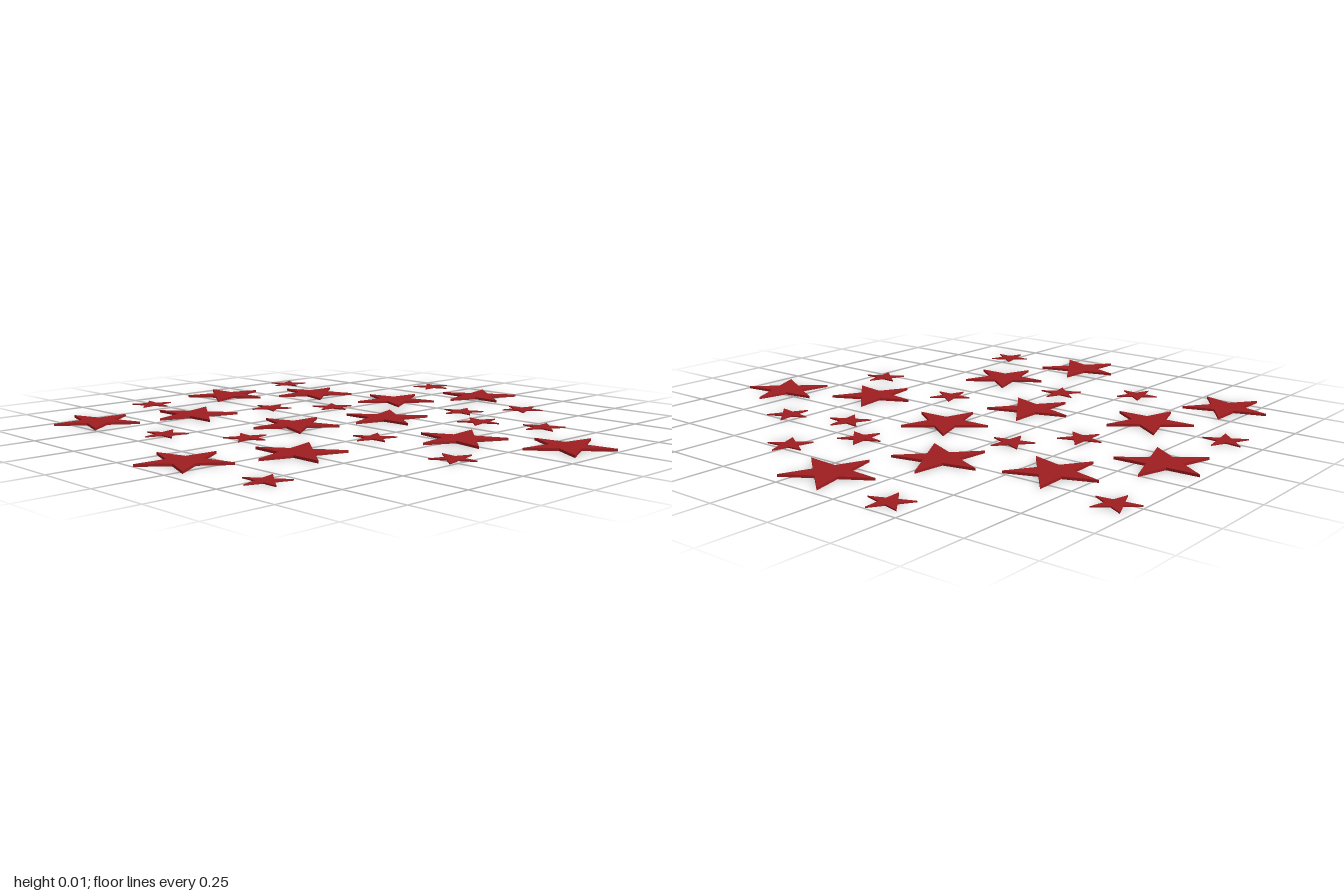
import * as THREE from 'three';

// Five-pointed star plate lying flat, first tip towards -z; thickness follows the size
function starGeometry(radius) {
  const points = [];
  for (let i = 0; i < 10; i++) {
    const r = i % 2 ? radius * 0.382 : radius;
    const a = Math.PI / 2 + (i * Math.PI) / 5;
    points.push(new THREE.Vector2(r * Math.cos(a), r * Math.sin(a)));
  }
  const geometry = new THREE.ExtrudeGeometry(new THREE.Shape(points), { depth: radius * 0.055, bevelEnabled: false });
  return geometry.rotateX(-Math.PI / 2);
}

// Each star: x, z, clockwise turn in degrees seen from above
const largeStars = [
  [-0.65, -0.653, 0], [-0.298, -0.53, -19], [0.097, -0.826, 16], [0.393, -0.608, -3],
  [0.512, -0.24, 6], [0.838, -0.069, -14], [-0.172, -0.093, 0], [0.172, 0.032, -20],
  [-0.848, 0.148, 3], [-0.507, 0.295, -17], [0.05, 0.505, -8], [0.198, 0.843, 11],
];
const smallStars = [
  [-0.263, -0.856, 26], [0.517, -0.915, -24], [0.025, -0.457, -2], [0.917, -0.397, 32],
  [0.213, -0.301, -32], [-0.613, -0.283, -16], [-0.452, -0.031, 24], [-0.138, 0.275, -18],
  [0.498, 0.134, -8], [0.708, 0.264, 14], [0.37, 0.324, 25], [-0.837, 0.523, -17],
  [0.443, 0.56, -8], [-0.21, 0.698, 22],
];

export function createModel() {
  const model = new THREE.Group();
  model.name = 'scatteredStars';
  const red = new THREE.MeshStandardMaterial({ color: 0x9f1d20 });
  red.name = 'deep red';

  const scatter = (name, radius, places) => {
    const geometry = starGeometry(radius);
    places.forEach(([x, z, turn], i) => {
      const star = new THREE.Mesh(geometry, red);
      star.name = `${name}${i + 1}`;
      star.position.set(x, 0, z);
      star.rotation.y = -THREE.MathUtils.degToRad(turn);
      model.add(star);
    });
  };
  scatter('largeStar', 0.163, largeStars);
  scatter('smallStar', 0.082, smallStars);
  return model;
}
